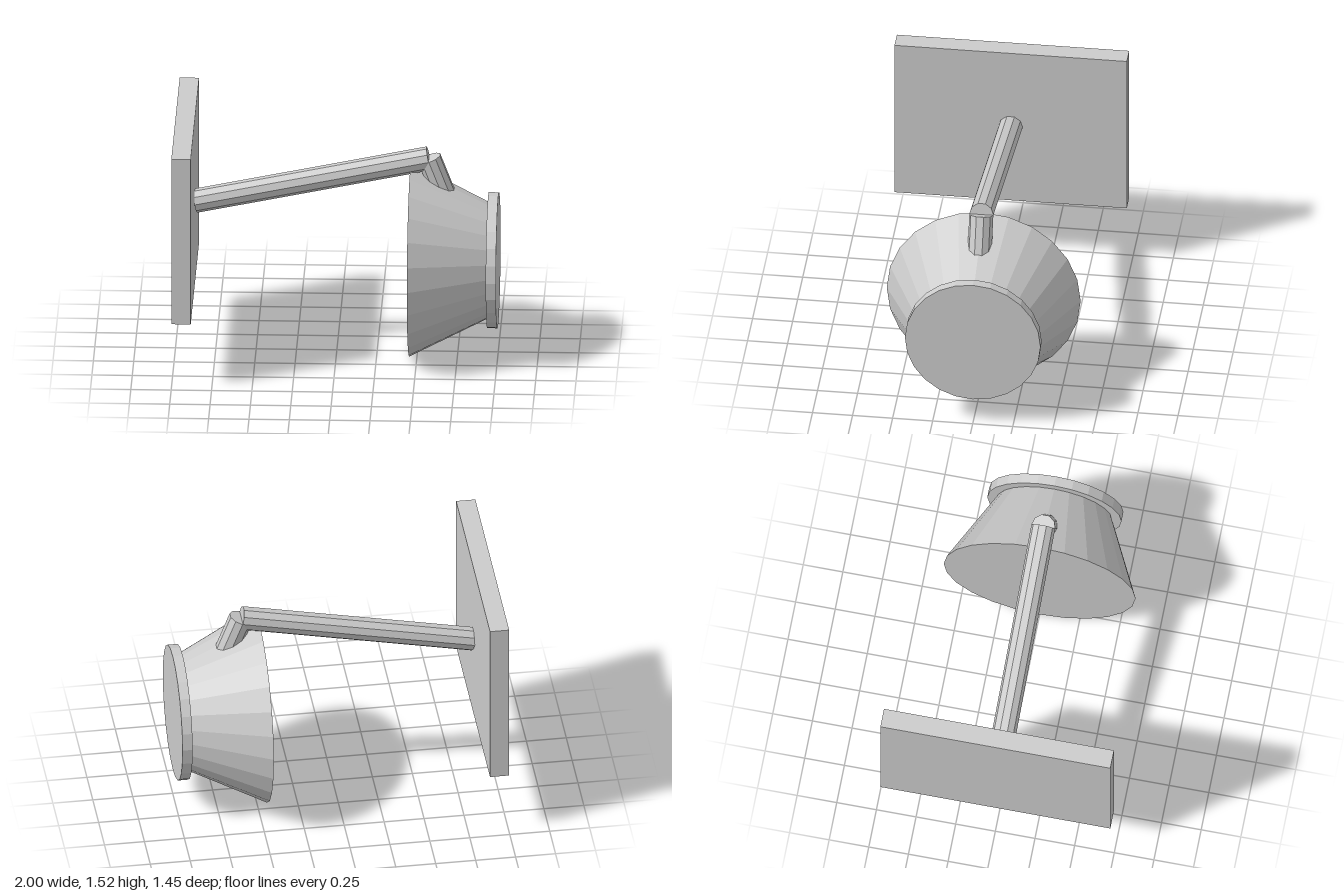
import * as THREE from 'three';

const material = new THREE.MeshStandardMaterial({ color: 0xcccccc, flatShading: true });

// Faceted cylinder or cone between two points [x, y] in the z = 0 plane
function rod(name, a, b, radiusA, radiusB, sides) {
  const dx = b[0] - a[0], dy = b[1] - a[1];
  const geometry = new THREE.CylinderGeometry(radiusB, radiusA, Math.hypot(dx, dy), sides);
  const mesh = new THREE.Mesh(geometry, material);
  mesh.name = name;
  mesh.position.set((a[0] + b[0]) / 2, (a[1] + b[1]) / 2, 0);
  mesh.rotation.z = Math.atan2(-dx, dy);
  return mesh;
}

export function createModel() {
  const group = new THREE.Group();
  group.name = 'wallLamp';

  // Square-edged plate fixed to the wall
  const plate = new THREE.Mesh(new THREE.BoxGeometry(0.12, 1.09, 1.45), material);
  plate.name = 'wallPlate';
  plate.position.set(-0.94, 0.973, 0);
  group.add(plate);

  // Rising arm and the short strut that carries the lamp head
  group.add(rod('arm', [-0.88, 0.975], [0.57, 1.275], 0.075, 0.075, 10));
  group.add(rod('strut', [0.573, 1.275], [0.70, 0.945], 0.075, 0.075, 10));

  // Lamp head: closed cone, wide towards the wall, with an end disc
  const axisY = 0.607;
  group.add(rod('shade', [0.455, axisY], [0.94, axisY], 0.605, 0.362, 24));
  group.add(rod('endDisc', [0.937, axisY], [1, axisY], 0.423, 0.423, 24));

  return group;
}
